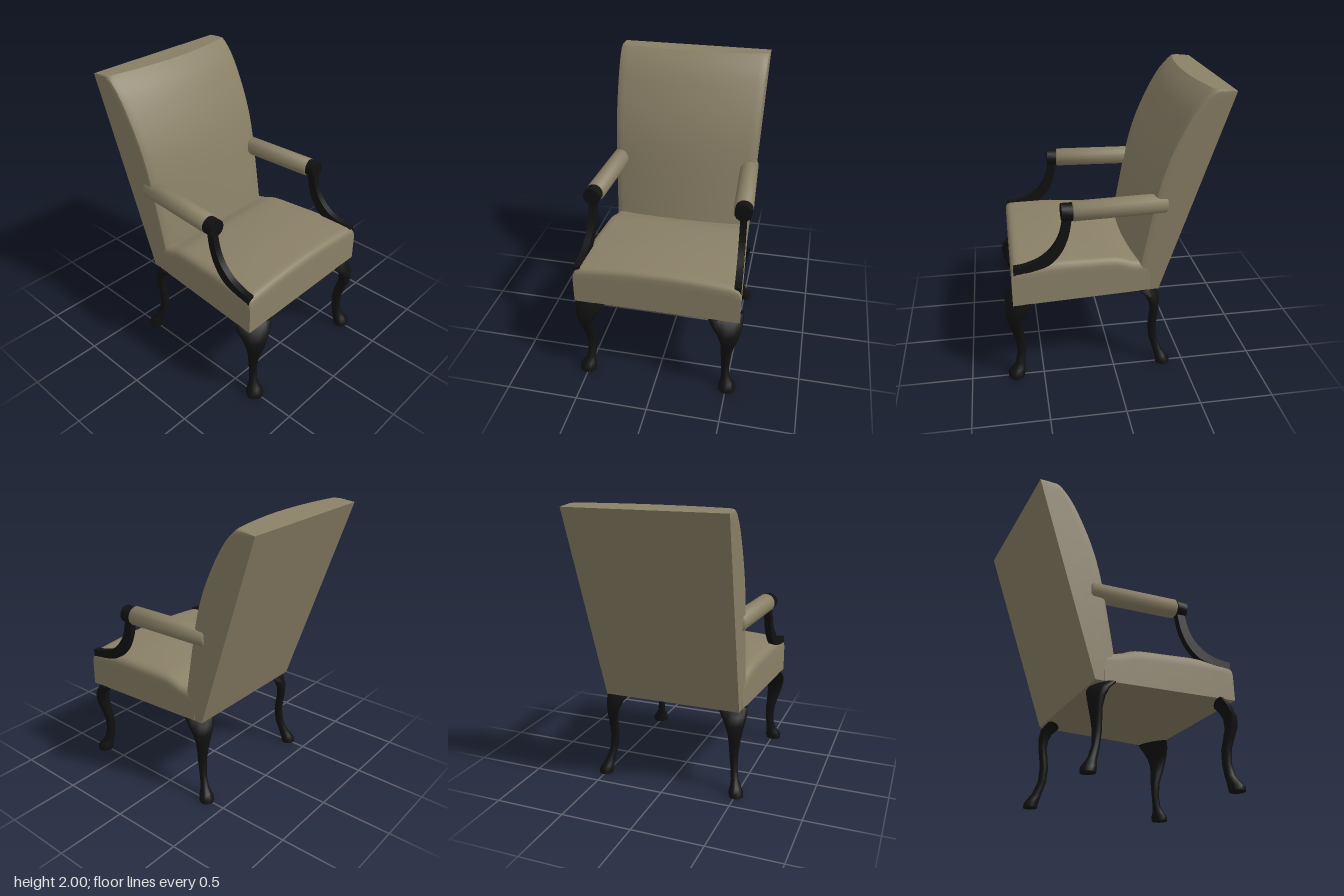
import * as THREE from 'three';
import { toCreasedNormals } from 'three/addons/utils/BufferGeometryUtils.js';

const upholstery = new THREE.MeshStandardMaterial({ color: 0x8a8067 });
upholstery.name = 'olive beige upholstery';
const darkWood = new THREE.MeshStandardMaterial({ color: 0x111111 });
darkWood.name = 'black wood';

const lerp = THREE.MathUtils.lerp;

// Piecewise smooth profile through [key, value] points
function profile(points) {
  const curve = new THREE.SplineCurve(points.map(p => new THREE.Vector2(...p)));
  const samples = curve.getPoints(60);
  return k => {
    let i = 0;
    while (i < samples.length - 2 && samples[i + 1].x < k) i++;
    const a = samples[i], b = samples[i + 1];
    return lerp(a.y, b.y, THREE.MathUtils.clamp((k - a.x) / (b.x - a.x), 0, 1));
  };
}

// Box whose vertices are moved by rule(s, t, v), each in -1..1, denser near the edges
function shapedBox(nx, ny, nz, rule) {
  const g = new THREE.BoxGeometry(2, 2, 2, nx, ny, nz);
  const p = g.attributes.position;
  const ease = k => Math.sin(k * Math.PI / 2);
  for (let i = 0; i < p.count; i++) p.setXYZ(i, ...rule(ease(p.getX(i)), ease(p.getY(i)), ease(p.getZ(i))));
  return toCreasedNormals(g, 0.6);
}

// Quarter-round drop within r of an edge, d being the distance to it
const roundOff = (d, r) => {
  const k = Math.max(0, 1 - d / r);
  return r * (1 - Math.sqrt(Math.max(0, 1 - k * k)));
};

function part(name, geometry, material) {
  const mesh = new THREE.Mesh(geometry, material);
  mesh.name = name;
  return mesh;
}

// Seat: tapered towards the back, domed cushion top
function seatGeometry() {
  const crown = profile([[-0.25, 0.81], [-0.13, 0.835], [0, 0.885], [0.3, 0.915], [0.5, 0.914], [0.69, 0.905]]);
  return shapedBox(24, 4, 24, (s, t, v) => {
    const z = lerp(-0.25, 0.69, (v + 1) / 2);
    const half = lerp(0.504, 0.57, (v + 1) / 2);
    const dome = 0.035 * s * s * THREE.MathUtils.smoothstep(z, -0.3, 0.3);
    const top = crown(z) - dome - roundOff(half * (1 - Math.abs(s)), 0.045) - roundOff(0.69 - z, 0.04);
    return [s * half, lerp(0.605, top, (t + 1) / 2), z];
  });
}

// Backrest: raked flat rear, curved padded front
function backGeometry() {
  const front = profile([[0.605, -0.09], [0.82, -0.12], [1.3, -0.21], [1.52, -0.27], [1.71, -0.35], [1.89, -0.45], [2.0, -0.55]]);
  return shapedBox(20, 24, 4, (s, t, v) => {
    const h = (t + 1) / 2, d = (v + 1) / 2;
    const y = lerp(0.605, lerp(1.985, 2.0, d), h);
    const half = lerp(0.5, 0.547, h) - roundOff(2 - y, 0.02);
    const edge = half * (1 - Math.abs(s));
    const zFront = front(y) - 0.06 * s * s - roundOff(edge, 0.025);
    return [s * half, y, lerp(lerp(-0.31, -0.75, h), zFront, d)];
  });
}

// Leg lofted through oval sections [y, forward offset, half width, half thickness], bottom to top
function legGeometry(sections, sides = 14) {
  const pos = [], index = [], n = sections.length;
  for (const [y, u, w, t] of sections)
    for (let j = 0; j < sides; j++) {
      const a = j / sides * Math.PI * 2;
      pos.push(w * Math.cos(a), y, u + t * Math.sin(a));
    }
  const bottom = n * sides, top = bottom + 1;
  pos.push(0, sections[0][0], sections[0][1], 0, sections[n - 1][0], sections[n - 1][1]);
  for (let j = 0; j < sides; j++) {
    const k = (j + 1) % sides;
    for (let i = 0; i < n - 1; i++) {
      const a = i * sides + j, b = i * sides + k;
      index.push(a, a + sides, b, b, a + sides, b + sides);
    }
    index.push(bottom, j, k, top, (n - 1) * sides + k, (n - 1) * sides + j);
  }
  const g = new THREE.BufferGeometry();
  g.setAttribute('position', new THREE.Float32BufferAttribute(pos, 3));
  g.setIndex(index);
  return toCreasedNormals(g, 0.9);
}

const frontLegSections = [
  [0, 0.052, 0.06, 0.055], [0.03, 0.05, 0.062, 0.057], [0.06, 0.036, 0.045, 0.048], [0.1, 0.015, 0.028, 0.037],
  [0.18, 0, 0.026, 0.033], [0.28, 0.003, 0.035, 0.035], [0.36, 0.025, 0.047, 0.038], [0.43, 0.045, 0.062, 0.043],
  [0.5, 0.044, 0.083, 0.046], [0.56, 0.018, 0.113, 0.046], [0.607, -0.02, 0.13, 0.04]];
const backLegSections = [
  [0, 0.078, 0.05, 0.05], [0.03, 0.074, 0.052, 0.05], [0.06, 0.058, 0.04, 0.044], [0.1, 0.035, 0.028, 0.034],
  [0.18, 0.002, 0.025, 0.03], [0.28, -0.01, 0.032, 0.03], [0.36, -0.003, 0.04, 0.03], [0.43, 0.006, 0.05, 0.03],
  [0.5, 0.002, 0.068, 0.034], [0.56, -0.018, 0.09, 0.04], [0.607, -0.065, 0.105, 0.042]];

// Padded arm rest with softened ends, axis along y
function armPadGeometry(length) {
  const h = length / 2, r = 0.066;
  const outline = [[0, -h], [r - 0.012, -h], [r, -h + 0.012], [r, h - 0.012], [r - 0.012, h], [0, h]];
  return toCreasedNormals(new THREE.LatheGeometry(outline.map(p => new THREE.Vector2(...p)), 24), 0.9);
}

// Swept arm support cut from a curved (z, y) outline, leaning outwards to the front
function armSupportGeometry(side) {
  const v = list => list.map(p => new THREE.Vector2(...p));
  const shape = new THREE.Shape();
  shape.moveTo(0.285, 1.2);
  shape.splineThru(v([[0.31, 1.07], [0.36, 0.96], [0.44, 0.88], [0.55, 0.847], [0.62, 0.84]]));
  shape.lineTo(0.63, 0.822);
  shape.lineTo(0.675, 0.822);
  shape.lineTo(0.675, 0.885);
  shape.splineThru(v([[0.6, 0.893], [0.5, 0.928], [0.42, 0.995], [0.368, 1.085], [0.342, 1.2]]));
  const depth = 0.046;
  const g = new THREE.ExtrudeGeometry(shape, { depth, bevelEnabled: false, curveSegments: 16 });
  g.translate(0, 0, -depth / 2).rotateY(-Math.PI / 2);
  const p = g.attributes.position;
  for (let i = 0; i < p.count; i++)
    p.setX(i, p.getX(i) + side * (0.52 + (p.getZ(i) - 0.31) * 0.065));
  return toCreasedNormals(g, 0.6);
}

// Place a y-axis part between two points
function between(mesh, a, b) {
  mesh.position.addVectors(a, b).multiplyScalar(0.5);
  mesh.quaternion.setFromUnitVectors(new THREE.Vector3(0, 1, 0), b.clone().sub(a).normalize());
  return mesh;
}

export function createModel() {
  const chair = new THREE.Group();
  chair.name = 'armchair';
  chair.add(part('seat', seatGeometry(), upholstery), part('backrest', backGeometry(), upholstery));

  for (const side of [1, -1]) {
    const label = side > 0 ? 'left' : 'right';

    // Arm: pad, front knob and support
    const arm = new THREE.Group();
    arm.name = label + 'Arm';
    const rear = new THREE.Vector3(side * 0.477, 1.24, -0.35);
    const fore = new THREE.Vector3(side * 0.513, 1.24, 0.285);
    arm.add(between(part('armPad', armPadGeometry(rear.distanceTo(fore)), upholstery), rear, fore));
    const knob = part('armKnob', toCreasedNormals(new THREE.CylinderGeometry(0.06, 0.06, 0.072, 16), 0.6), darkWood);
    arm.add(between(knob, new THREE.Vector3(side * 0.517, 1.24, 0.28), new THREE.Vector3(side * 0.519, 1.24, 0.352)));
    arm.add(part('armSupport', armSupportGeometry(side), darkWood));
    chair.add(arm);

    // Curved legs, turned outwards towards the corners
    const frontLeg = part(label + 'FrontLeg', legGeometry(frontLegSections), darkWood);
    frontLeg.position.set(side * 0.482, 0, 0.648);
    frontLeg.rotation.y = side * Math.PI / 6;
    const backLeg = part(label + 'BackLeg', legGeometry(backLegSections), darkWood);
    backLeg.position.set(side * 0.465, 0, -0.288);
    backLeg.rotation.y = Math.PI - side * Math.PI / 6;
    chair.add(frontLeg, backLeg);
  }
  return chair;
}
